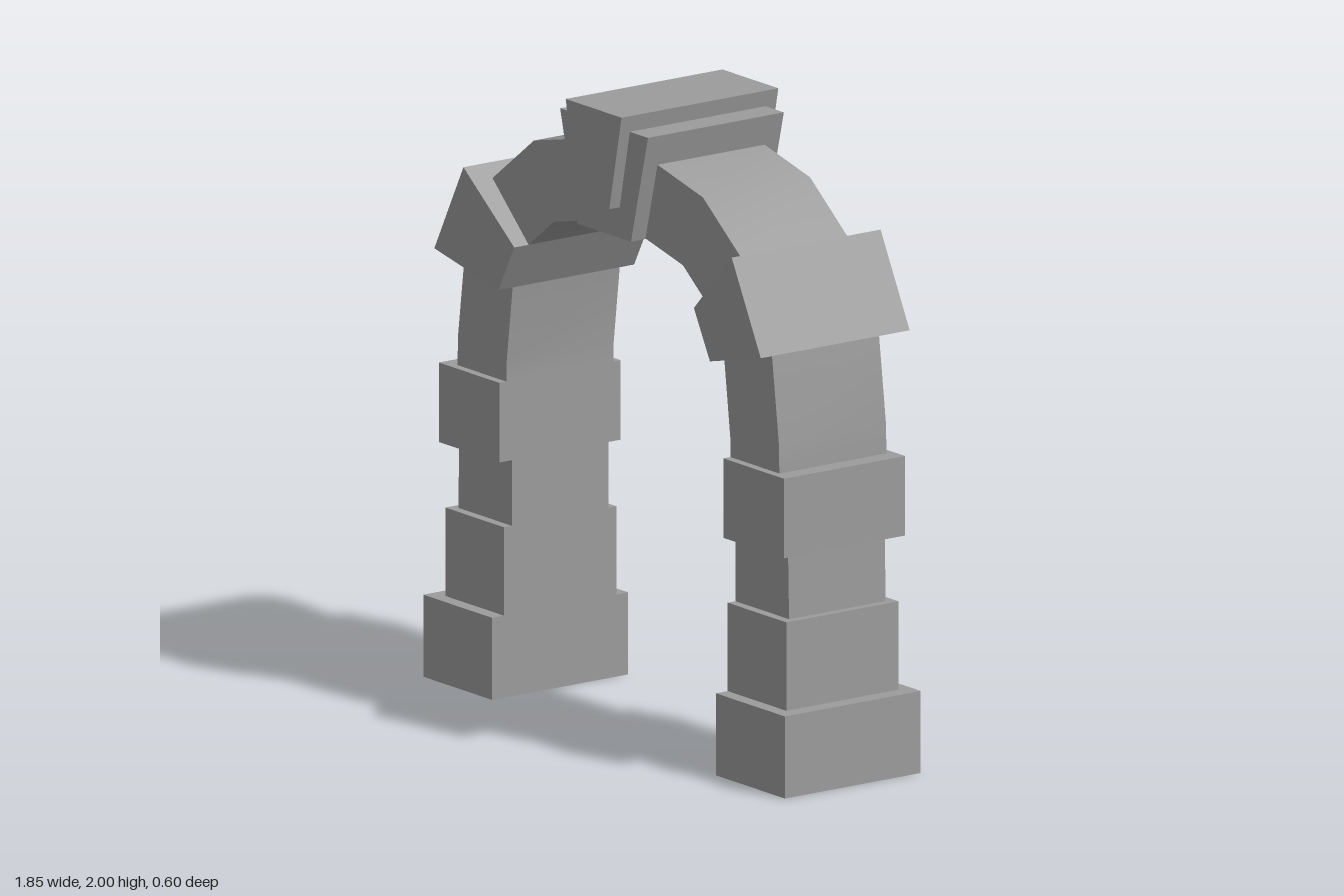
import * as THREE from 'three';
import { toCreasedNormals } from 'three/addons/utils/BufferGeometryUtils.js';

const stone = new THREE.MeshStandardMaterial({ color: 0x9c9c9c });

// Stone with a polygonal front outline, centred on z = 0
function makeStone(name, points, halfDepth, side = 1) {
  const shape = new THREE.Shape(points.map(([x, y]) => new THREE.Vector2(x * side, y)));
  const geometry = new THREE.ExtrudeGeometry(shape, { depth: 2 * halfDepth, bevelEnabled: false });
  geometry.translate(0, 0, -halfDepth);
  const mesh = new THREE.Mesh(toCreasedNormals(geometry, 0.6), stone);
  mesh.name = name;
  return mesh;
}

// Narrow the stone's depth at its inner edge
function taperInside(mesh, innerX, innerHalfDepth) {
  const pos = mesh.geometry.attributes.position;
  for (let i = 0; i < pos.count; i++) {
    if (Math.abs(pos.getX(i)) < innerX) pos.setZ(i, Math.sign(pos.getZ(i)) * innerHalfDepth);
  }
  mesh.geometry = toCreasedNormals(mesh.geometry, 0.6);
  return mesh;
}

const INNER = 0.573;

// Pier blocks: name, bottom, top, outer x at bottom and top, half depth
const pierBlocks = [
  ['pierBase', 0, 0.26, 0.926, 0.926, 0.26],
  ['pierLowerBlock', 0.26, 0.54, 0.873, 0.873, 0.215],
  ['pierNeck', 0.54, 0.748, 0.847, 0.842, 0.185],
  ['pierUpperBlock', 0.748, 1.0, 0.884, 0.884, 0.232],
];

function makeSide(name, side) {
  const group = new THREE.Group();
  group.name = name;

  for (const [block, y0, y1, outer0, outer1, half] of pierBlocks) {
    group.add(makeStone(block, [[INNER, y0], [outer0, y0], [outer1, y1], [INNER, y1]], half, side));
  }

  // Springing of the arch
  group.add(makeStone('archLowerSegment', [
    [INNER, 1.0], [0.824, 1.0], [0.822, 1.09], [0.786, 1.368], [0.542, 1.305], [INNER, 1.06],
  ], 0.205, side));

  // Projecting stone at the haunch
  group.add(taperInside(makeStone('haunchStone', [
    [0.542, 1.305], [0.836, 1.38], [0.687, 1.668], [0.46, 1.457],
  ], 0.285, side), 0.6, 0.26));

  // Curved run up to the keystone
  group.add(makeStone('archUpperSegment', [
    [0.46, 1.457], [0.645, 1.63], [0.433, 1.793], [0.2, 1.848], [0.138, 1.602], [0.33, 1.557],
  ], 0.205, side));
  return group;
}

export function createModel() {
  const arch = new THREE.Group();
  arch.name = 'stoneArch';
  arch.add(makeSide('leftSide', 1), makeSide('rightSide', -1));

  // Keystone in two layers
  arch.add(makeStone('keystoneSurround', [[-0.138, 1.6], [0.138, 1.6], [0.225, 1.947], [-0.225, 1.947]], 0.26));
  arch.add(makeStone('keystone', [[-0.08, 1.697], [0.08, 1.697], [0.143, 2], [-0.143, 2]], 0.3));
  return arch;
}
